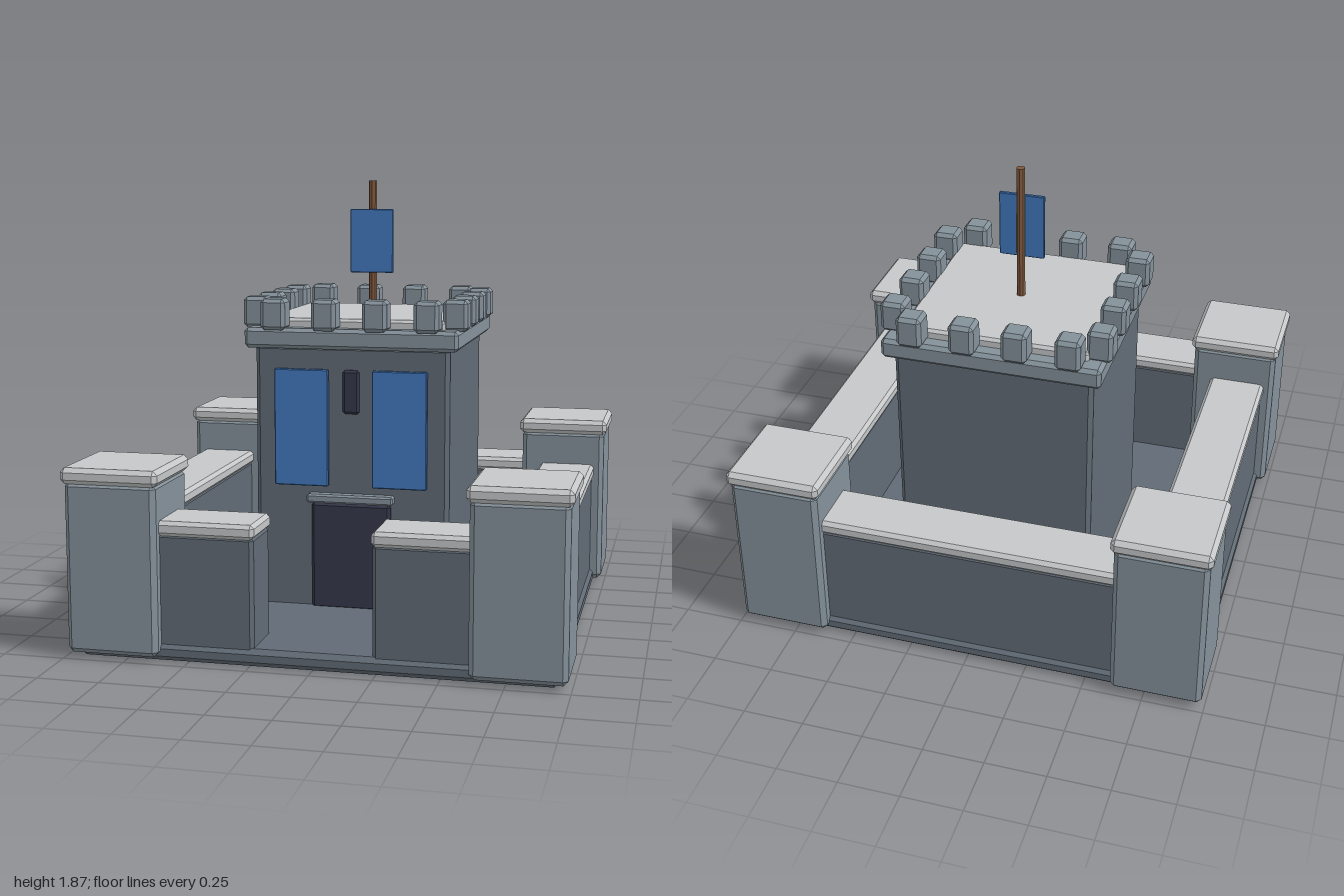
import * as THREE from 'three';
import { ConvexGeometry } from 'three/addons/geometries/ConvexGeometry.js';

const material = (name, color) => new THREE.MeshStandardMaterial({ name, color });

// Box with every edge and corner cut at 45 degrees
function chamferBox(w, h, d, c) {
  const points = [];
  for (const x of [-1, 1]) for (const y of [-1, 1]) for (const z of [-1, 1]) {
    for (let axis = 0; axis < 3; axis++) {
      const inset = [0, 1, 2].map((i) => (i === axis ? 0 : c));
      points.push(new THREE.Vector3(
        x * (w / 2 - inset[0]), y * (h / 2 - inset[1]), z * (d / 2 - inset[2])));
    }
  }
  return new ConvexGeometry(points);
}

export function createModel() {
  const model = new THREE.Group();
  model.name = 'castle';

  const wallStone = material('dark wall stone', 0x616b75);
  const towerStone = material('tower stone', 0x84919a);
  const paleStone = material('pale cap stone', 0xc5c7c8);
  const darkWood = material('dark opening', 0x34374a);
  const blue = material('blue cloth', 0x4178be);
  const wood = material('pole wood', 0x80593e);

  // Block given by its limits on each axis
  function block(name, mat, [x0, x1], [y0, y1], [z0, z1], chamfer = 0.015, parent = model) {
    const mesh = new THREE.Mesh(chamferBox(x1 - x0, y1 - y0, z1 - z0, chamfer), mat);
    mesh.position.set((x0 + x1) / 2, (y0 + y1) / 2, (z0 + z1) / 2);
    mesh.name = name;
    parent.add(mesh);
    return mesh;
  }
  const around = (centre, size) => [centre - size / 2, centre + size / 2];

  // Courtyard floor
  block('base', wallStone, [-0.95, 0.95], [0, 0.07], [-0.95, 0.95], 0.02);

  // Corner towers with overhanging caps
  for (const x of [-0.8, 0.8]) for (const z of [-0.8, 0.8]) {
    block('cornerTower', towerStone, around(x, 0.375), [0.02, 0.71], around(z, 0.375), 0.02);
    block('cornerTowerCap', paleStone, around(x, 0.4), [0.7, 0.765], around(z, 0.4), 0.018);
  }

  // Curtain walls: body plus pale coping
  function wall(name, xs, zs, xc, zc) {
    block(name, wallStone, xs, [0.05, 0.51], zs);
    block(name + 'Coping', paleStone, xc, [0.5, 0.56], zc);
  }
  const run = [-0.66, 0.66];
  for (const side of [-1, 1]) {
    const cx = side * 0.82;
    wall(side > 0 ? 'leftWall' : 'rightWall', around(cx, 0.23), run, around(cx, 0.25), run);
    wall('gateWall', around(side * 0.45, 0.43), around(0.82, 0.23),
      around(side * 0.445, 0.43), around(0.82, 0.25));
  }
  wall('backWall', run, around(-0.82, 0.23), run, around(-0.82, 0.25));

  // Keep
  const keep = new THREE.Group();
  keep.name = 'keep';
  model.add(keep);
  const kz = -0.15;
  const part = (name, mat, x, y, z, c) => block(name, mat, x, y, z, c, keep);
  part('keepBody', wallStone, around(0, 0.83), [0.04, 1.185], around(kz + 0.005, 0.83), 0.018);
  part('keepLedge', towerStone, around(0, 0.91), [1.172, 1.257], around(kz, 0.91), 0.015);
  part('keepRoof', paleStone, around(0, 0.78), [1.24, 1.295], around(kz, 0.78), 0.012);

  // Battlements, four on each side
  const row = 0.428, size = 0.105;
  for (const t of [-0.325, -0.108, 0.108, 0.325]) for (const side of [-1, 1]) {
    part('merlon', towerStone, around(t, size), [1.25, 1.38], around(kz + side * row, size));
    part('merlon', towerStone, around(side * row, size), [1.25, 1.38], around(kz + t, size));
  }

  // Door, lintel, arrow slit and hanging banners
  part('door', darkWood, around(0, 0.34), [0.06, 0.52], [0.24, 0.29], 0.012);
  part('doorLintel', towerStone, around(0, 0.37), [0.522, 0.56], [0.25, 0.315], 0.008);
  part('arrowSlit', darkWood, around(0, 0.072), [0.9, 1.085], [0.25, 0.284], 0.01);
  for (const x of [-0.21, 0.21]) {
    part('banner', blue, around(x, 0.232), [0.592, 1.087], [0.277, 0.299], 0.004);
  }

  // Flagpole and flag
  const pole = new THREE.Mesh(new THREE.CylinderGeometry(0.018, 0.018, 0.58, 8).toNonIndexed(), wood);
  pole.geometry.computeVertexNormals();
  pole.position.set(0, 1.575, kz);
  pole.name = 'flagPole';
  keep.add(pole);
  part('flag', blue, around(0, 0.19), [1.466, 1.742], [-0.139, -0.122], 0.003);

  return model;
}
